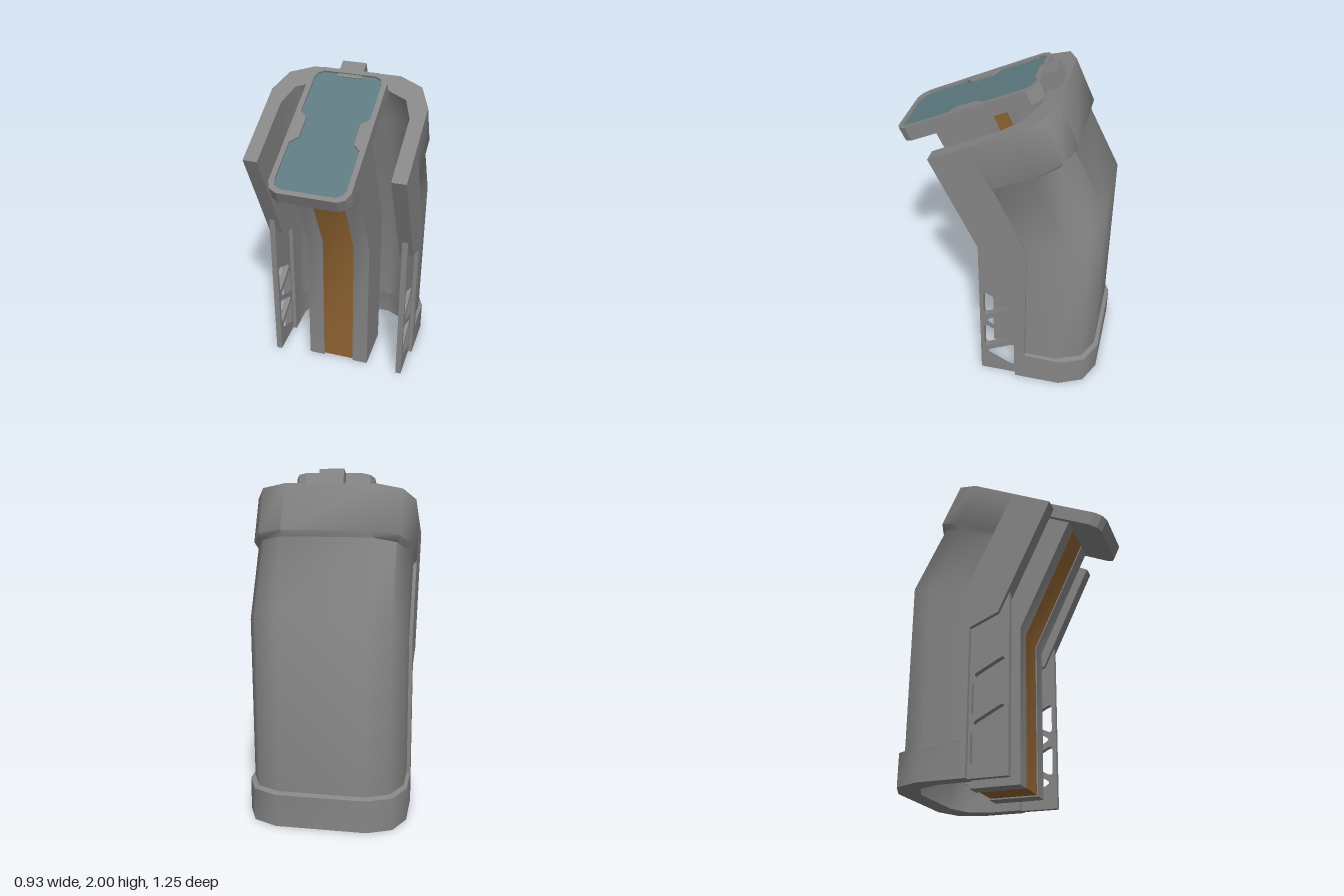
import * as THREE from 'three';
import { toCreasedNormals } from 'three/addons/utils/BufferGeometryUtils.js';

const TILT = THREE.MathUtils.degToRad(25);

export function createModel() {
  const model = new THREE.Group();
  const grey = new THREE.MeshStandardMaterial({ color: 0x868686 });
  const amber = new THREE.MeshStandardMaterial({ color: 0x906432 });
  const teal = new THREE.MeshStandardMaterial({ color: 0x5d7a80 });

  const add = (name, geometry, material = grey, parent = model) => {
    const mesh = new THREE.Mesh(geometry, material);
    mesh.name = name;
    parent.add(mesh);
    return mesh;
  };

  // Side profile in [z, y], extruded along x from x0 to x1
  const toPoints = (list) => list.map(([z, y]) => new THREE.Vector2(-z, y));
  const sideExtrude = (profile, x0, x1, holes = []) => {
    const shape = new THREE.Shape(toPoints(profile));
    shape.holes = holes;
    const geo = new THREE.ExtrudeGeometry(shape, { depth: x1 - x0, bevelEnabled: false, curveSegments: 4 });
    return toCreasedNormals(geo.rotateY(Math.PI / 2).translate(x0, 0, 0), 0.6);
  };

  // Triangular hole with rounded corners
  const roundedHole = (corners) => {
    const p = toPoints(corners);
    const path = new THREE.Path();
    p.forEach((c, i) => {
      const before = c.clone().lerp(p[(i + 2) % 3], 0.16);
      const after = c.clone().lerp(p[(i + 1) % 3], 0.16);
      if (i === 0) path.moveTo(before.x, before.y);
      else path.lineTo(before.x, before.y);
      path.quadraticCurveTo(c.x, c.y, after.x, after.y);
    });
    path.closePath();
    return path;
  };

  // U-shaped wall section lying between a front and a back point, both [z, y]
  const section = ([fz, fy], [bz, by], inset = 0) => {
    const length = Math.hypot(fz - bz, fy - by);
    const dz = (fz - bz) / length, dy = (fy - by) / length;
    const w = 0.465 - inset, wall = 0.112 - inset;
    const outer = [[w, length], [w, 0.21], [w - 0.065, 0.065], [0.26 - inset / 2, 0]];
    const inner = [[0.38, length], [0.38, wall + 0.19], [0.33, wall + 0.06], [0.2, wall]];
    const mirror = (side) => [...side, ...side.map(([x, t]) => [-x, t]).reverse()];
    return [...mirror(outer), ...mirror(inner).reverse()]
      .map(([x, t]) => [x, by + dy * t, bz + dz * t]);
  };

  // Skin a stack of sections from bottom to top and cap both ends
  const loft = (sections) => {
    const n = sections[0].length, last = (sections.length - 1) * n;
    const index = [];
    const quad = (a, b, c, d) => index.push(a, b, c, a, c, d);
    for (let s = 0; s < last; s += n) {
      for (let i = 0; i < n; i++) {
        const j = (i + 1) % n;
        quad(s + i, s + j, s + n + j, s + n + i);
      }
    }
    for (let i = 0; i < n / 2 - 1; i++) {
      quad(last + i, last + i + 1, last + n - 2 - i, last + n - 1 - i);
      quad(n - 1 - i, n - 2 - i, i + 1, i);
    }
    const geo = new THREE.BufferGeometry();
    geo.setAttribute('position', new THREE.Float32BufferAttribute(sections.flat(2), 3));
    geo.setIndex(index);
    return toCreasedNormals(geo, 1);
  };

  // Bent shell, open at the front, flaring into a collar at the top
  add('shell', loft([
    section([-0.19, 0.17], [-0.599, 0.17], 0.02),
    section([-0.19, 1.05], [-0.599, 1.25], 0.02),
    section([0, 1.44], [-0.405, 1.632], 0.02),
    section([0.012, 1.465], [-0.425, 1.67]),
    section([0.127, 1.71], [-0.31, 1.92]),
  ]));
  // Rim around the foot of the shell
  add('footRim', loft([
    section([-0.13, 0], [-0.624, 0]),
    section([-0.13, 0.2], [-0.624, 0.19]),
    section([-0.13, 0.205], [-0.599, 0.203], 0.02),
  ]));

  // Side walls and lattice plates, left and right
  const wall = [[0.355, 1.6], [0.127, 1.71], [0, 1.44], [-0.19, 1.05], [-0.19, 0.2],
    [-0.13, 0.2], [-0.13, 0.86], [0.04, 0.93]];
  const plate = [[0.1, 0], [0.1, 1.06], [-0.14, 1.06], [-0.14, 0]];
  for (const [name, side] of [['left', 1], ['right', -1]]) {
    const span = (a, b) => (side > 0 ? [a, b] : [-b, -a]);
    add(name + 'SideWall', sideExtrude(wall, ...span(0.38, 0.465)));
    const holes = [];
    for (const y of [0.3, 0.575]) {
      holes.push(roundedHole([[0.075, y + 0.1], [0.075, y - 0.1], [-0.117, y]]));
      holes.push(roundedHole([[-0.117, y - 0.04], [-0.117, y - 0.235], [0.065, y - 0.137]]));
    }
    add(name + 'LatticePlate', sideExtrude(plate, ...span(0.405, 0.44), holes));
  }

  // Bent inner column: two rails around a slightly recessed strip
  const column = (r) => [[0.08 - r, 0.01 + r], [0.08 - r, 0.94], [0.4 - r, 1.62],
    [0.11 + r, 1.755], [-0.22 + r, 1.01], [-0.22 + r, 0.01 + r]];
  add('leftRail', sideExtrude(column(0), 0.1, 0.2));
  add('rightRail', sideExtrude(column(0), -0.2, -0.1));
  add('centreStrip', sideExtrude(column(0.008), -0.1, 0.1), amber);

  // Tilted display
  const display = new THREE.Group();
  display.name = 'display';
  display.position.set(0, 1.747, 0.205);
  display.rotation.x = TILT - Math.PI / 2;
  model.add(display);

  // Outline from one quarter, mirrored both ways
  const outline = (quarter) => {
    const top = [...quarter, ...quarter.map(([x, y]) => [-x, y]).reverse()];
    return [...top, ...top.map(([x, y]) => [x, -y]).reverse()].map((p) => new THREE.Vector2(...p));
  };
  const slab = (shape, z0, z1) =>
    new THREE.ExtrudeGeometry(shape, { depth: z1 - z0, bevelEnabled: false }).translate(0, 0, z0);
  const rim = outline([[0.227, 0.38], [0.207, 0.425], [0.165, 0.447]]);
  const opening = outline([[0.155, 0.07], [0.197, 0.11], [0.197, 0.365], [0.185, 0.4], [0.15, 0.42]]);
  const frame = new THREE.Shape(rim);
  frame.holes.push(new THREE.Path(opening));
  add('displayFrame', slab(frame, -0.02, 0.043), grey, display);
  add('displayBack', slab(new THREE.Shape(rim), -0.043, -0.02), grey, display);
  add('screen', slab(new THREE.Shape(opening), -0.02, 0.031), teal, display);

  // Clip on the upper edge of the display
  const clip = add('displayClip', new THREE.BoxGeometry(0.14, 0.122, 0.1));
  clip.position.set(0, 1.928, -0.216);
  clip.rotation.x = TILT - Math.PI / 2;

  return model;
}
